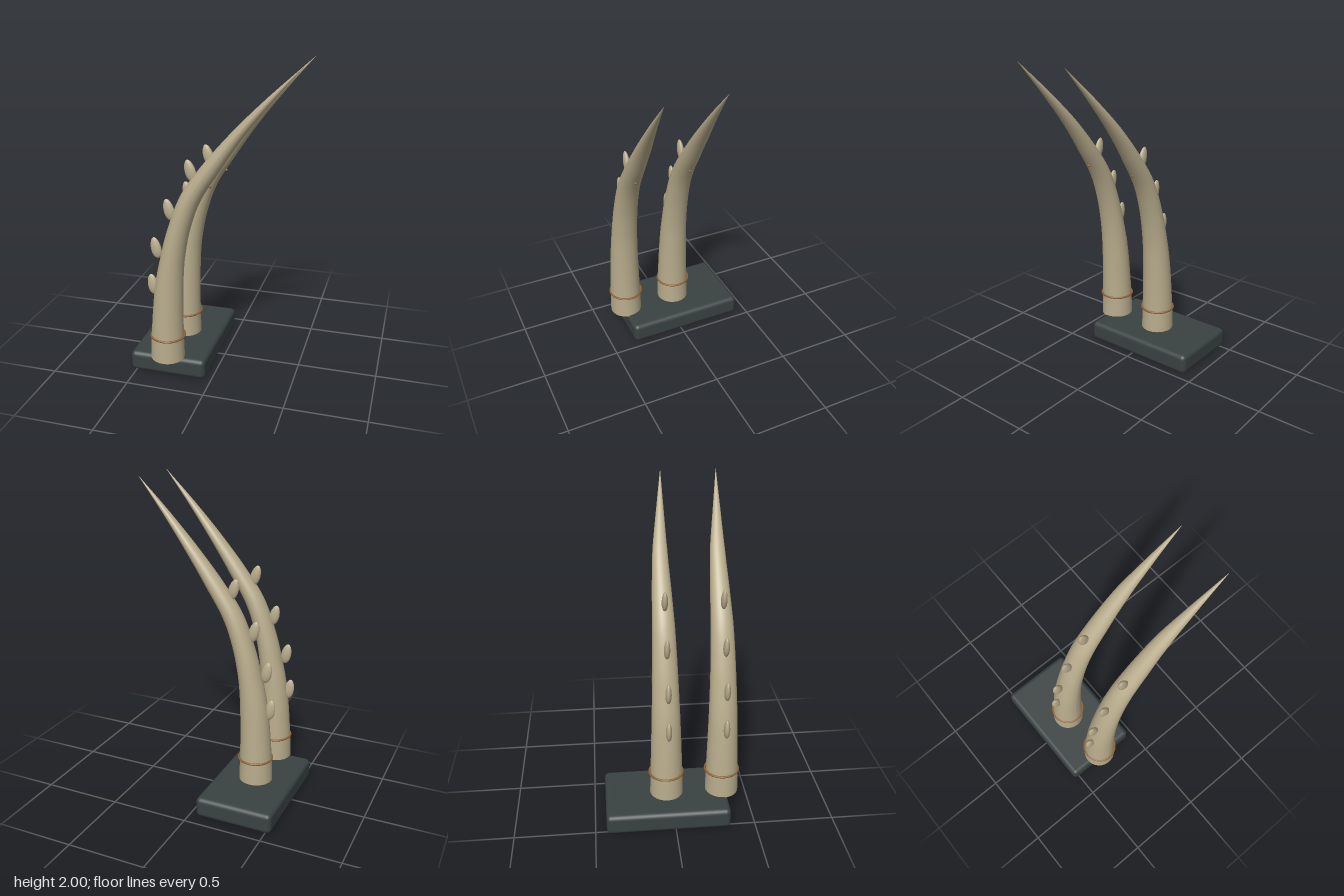
import * as THREE from 'three';
import { RoundedBoxGeometry } from 'three/addons/geometries/RoundedBoxGeometry.js';

const horn = new THREE.MeshStandardMaterial({ color: 0xb8ac8c });
const dark = new THREE.MeshStandardMaterial({ color: 0x3a4242 });
const bronze = new THREE.MeshStandardMaterial({ color: 0x8f6236 });

function add(parent, name, geometry, material, x = 0, y = 0, z = 0) {
  const mesh = new THREE.Mesh(geometry, material);
  mesh.name = name;
  mesh.position.set(x, y, z);
  parent.add(mesh);
  return mesh;
}

// Centre line of a horn: x, y, z
const spine = new THREE.CatmullRomCurve3([
  [-0.287, 0.125, -0.039], [-0.285, 0.28, -0.039], [-0.268, 0.6, -0.039],
  [-0.241, 0.8, -0.039], [-0.195, 1.0, -0.039], [-0.12, 1.2, -0.039],
  [0.012, 1.4, -0.039], [0.165, 1.6, -0.035], [0.34, 1.8, -0.019], [0.53, 2.0, 0],
].map((p) => new THREE.Vector3(...p)));
// Half widths at those points: across the bend, and along z
const across = [0.107, 0.102, 0.088, 0.074, 0.065, 0.06, 0.051, 0.035, 0.019, 0.001];
const along = [0.105, 0.102, 0.091, 0.084, 0.077, 0.07, 0.06, 0.046, 0.024, 0.001];

function sample(list, t) {
  const f = t * (list.length - 1);
  const i = Math.min(Math.floor(f), list.length - 2);
  return THREE.MathUtils.lerp(list[i], list[i + 1], f - i);
}

// A cylinder bent along the spine and tapered to a point
function hornGeometry() {
  const geometry = new THREE.CylinderGeometry(1, 1, 1, 32, 54);
  const pos = geometry.attributes.position;
  for (let i = 0; i < pos.count; i++) {
    const t = THREE.MathUtils.clamp(pos.getY(i) + 0.5, 0, 1);
    const c = spine.getPoint(t);
    const d = spine.getTangent(t);
    const len = Math.hypot(d.x, d.y);
    const a = pos.getX(i) * sample(across, t);
    const b = pos.getZ(i) * sample(along, t);
    pos.setXYZ(i, c.x + (a * d.y) / len, c.y - (a * d.x) / len, c.z + b);
  }
  geometry.computeVertexNormals();
  return geometry;
}

// Thorn: an egg with a narrower upper end, flattened sideways
function thornGeometry() {
  const geometry = new THREE.SphereGeometry(1, 20, 14);
  const pos = geometry.attributes.position;
  for (let i = 0; i < pos.count; i++) {
    const y = pos.getY(i);
    const k = 1 - 0.12 * y;
    pos.setXYZ(i, pos.getX(i) * 0.033 * k, y * 0.068, pos.getZ(i) * 0.019 * k);
  }
  geometry.computeVertexNormals();
  return geometry;
}

// Thorn centres x, y and lean
const thorns = [[-0.37, 0.622, 0.16], [-0.342, 0.868, 0.2], [-0.253, 1.12, 0.25], [-0.117, 1.37, 0.28]];

function makeTusk(name, z) {
  const group = new THREE.Group();
  group.name = name;
  group.position.z = z;
  add(group, 'horn', hornGeometry(), horn);
  for (const [x, y, lean] of thorns) {
    add(group, 'thorn', thornGeometry(), horn, x, y, -0.031).rotation.z = lean;
  }
  // Binding ring near the foot
  const ring = add(group, 'ring', new THREE.TorusGeometry(0.106, 0.007, 10, 48), bronze, -0.283, 0.28, -0.041);
  ring.rotation.x = Math.PI / 2;
  // Small stud on the inside of the bend
  add(group, 'stud', new THREE.SphereGeometry(0.008, 10, 8), bronze, -0.001, 1.28, -0.04);
  return group;
}

export function createModel() {
  const model = new THREE.Group();
  add(model, 'base', new RoundedBoxGeometry(0.495, 0.13, 0.775, 3, 0.03), dark, -0.288, 0.065, -0.043);
  model.add(makeTusk('backTusk', 0));
  model.add(makeTusk('frontTusk', 0.355));
  return model;
}
